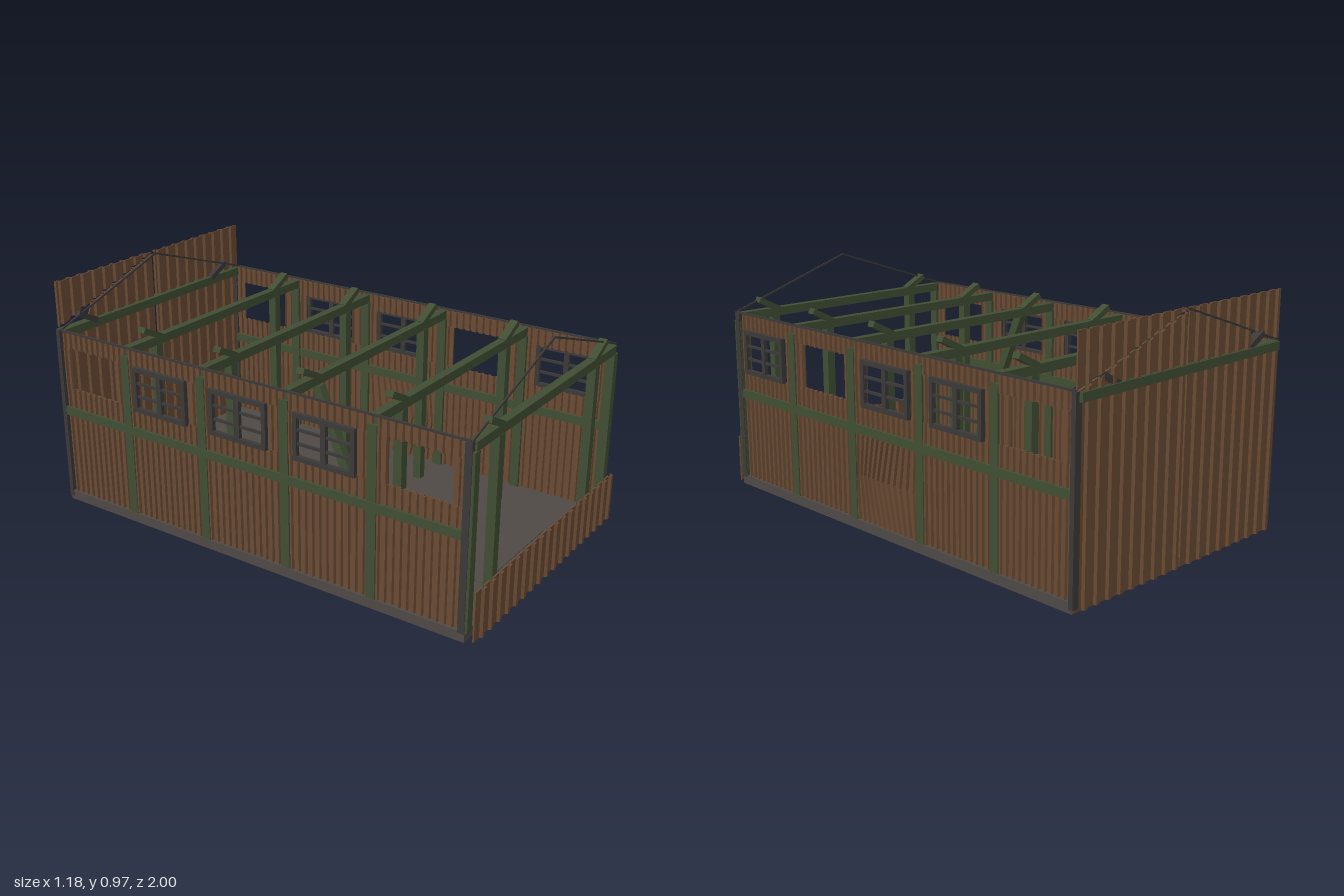
import * as THREE from 'three';

const mat = (name, color, side = THREE.FrontSide) => {
  const m = new THREE.MeshStandardMaterial({ color, side });
  m.name = name;
  return m;
};

export function createModel() {
  const root = new THREE.Group();
  root.name = 'openShed';
  const brown = mat('corrugated brown', 0x684a33, THREE.DoubleSide);
  const green = mat('painted green', 0x404d33);
  const grey = mat('concrete grey', 0x4e4945);
  const dark = mat('dark metal', 0x3b3938);

  const add = (name, geo, material, parent = root) => {
    const m = new THREE.Mesh(geo, material);
    m.name = name;
    parent.add(m);
    return m;
  };
  const box = (name, w, h, d, x, y, z, material, parent) => {
    const m = add(name, new THREE.BoxGeometry(w, h, d), material, parent);
    m.position.set(x, y, z);
    return m;
  };
  // square bar running between two points
  const bar = (name, a, b, w, h, material) => {
    const p = new THREE.Vector3(...a), q = new THREE.Vector3(...b);
    const m = add(name, new THREE.BoxGeometry(w, h, p.distanceTo(q)), material);
    m.position.copy(p).add(q).multiplyScalar(0.5);
    m.lookAt(q);
    return m;
  };

  // ribbed sheet, width along x, ribs towards +z, standing on y = 0
  const sheet = (width, height, pitch, steps = 1) => {
    const n = Math.max(1, Math.round(width / pitch)), p = width / n;
    const rib = 0.011, t = 0.006, line = [];
    for (let i = 0; i < n; i++) {
      const u = -width / 2 + i * p;
      line.push([u, 0], [u + p * 0.6, 0], [u + p * 0.68, rib], [u + p * 0.92, rib]);
    }
    line.push([width / 2, 0]);
    const pts = line.map(([u, d]) => new THREE.Vector2(u, -d));
    line.reverse().forEach(([u, d]) => pts.push(new THREE.Vector2(u, t - d)));
    const geo = new THREE.ExtrudeGeometry(new THREE.Shape(pts), { depth: height, steps, bevelEnabled: false });
    return geo.rotateX(-Math.PI / 2);
  };
  const reshape = (geo, rule) => {
    const p = geo.attributes.position;
    for (let i = 0; i < p.count; i++) {
      const [x, y] = rule(p.getX(i), p.getY(i));
      p.setXY(i, x, y);
    }
    geo.computeVertexNormals();
    return geo;
  };

  // floor slab, underside and hatch
  box('floorSlab', 1.16, 0.04, 1.935, 0, 0.026, -0.0125, grey);
  box('underside', 1.13, 0.006, 1.9, 0, 0.003, -0.0125, green);
  box('floorHatch', 0.5, 0.004, 0.2, 0, 0.047, 0.75, grey);

  // side walls, bay by bay around the window openings
  const edges = [0.935, 0.56, 0.175, -0.22, -0.61, -0.975];
  const centres = [0.75, 0.36, -0.035, -0.425, -0.80];
  const sill = 0.52, head = 0.7, top = 0.77, base = 0.045, belt = 0.42;
  for (const s of [1, -1]) {
    const wall = new THREE.Group();
    wall.name = s > 0 ? 'leftWall' : 'rightWall';
    root.add(wall);
    const panel = (z0, z1, y0, y1, bent) => {
      const w = Math.abs(z0 - z1), h = y1 - y0;
      const geo = sheet(w, h, 0.031, bent ? 8 : 1);
      // buckled sheet: ribs pushed sideways at mid height
      if (bent) reshape(geo, (x, y) => [
        x - 0.04 * (1 - Math.abs(2 * y / h - 1)) * Math.sin(Math.PI * (x / w + 0.5)), y]);
      const m = add('wallSheet', geo, brown, wall);
      m.rotation.y = s * Math.PI / 2;
      m.position.set(s * 0.564, y0, (z0 + z1) / 2);
    };
    centres.forEach((c, i) => {
      const a = edges[i], b = edges[i + 1], r = i === 4 ? 0.12 : 0.13;
      panel(a, b, base, belt, s > 0 && i === 2);
      panel(a, b, belt, sill);
      panel(a, b, head, top);
      panel(a, c + r, sill, head);
      panel(c - r, b, sill, head);
      const framed = s > 0 ? [0, 2, 3] : [1, 2, 3];
      if (!framed.includes(i)) return;
      // window frame with glazing bars
      const win = new THREE.Group();
      win.name = 'windowFrame';
      win.position.set(s * 0.581, 0.61, c);
      wall.add(win);
      for (const k of [-1, 1]) {
        box('frameSide', 0.018, 0.18, 0.018, 0, 0, k * 0.126, dark, win);
        box('frameRail', 0.018, 0.018, 0.27, 0, k * 0.085, 0, dark, win);
        box('glazingBar', 0.01, 0.01, 0.25, 0, k * 0.028, 0, dark, win);
      }
      box('mullion', 0.016, 0.17, 0.022, 0, 0, 0, dark, win);
    });
    box('beltRail', 0.034, 0.036, 1.9, s * 0.564, belt, -0.02, green, wall);
    box('topRail', 0.008, 0.008, 1.92, s * 0.574, 0.772, -0.015, dark, wall);
    box('frontCorner', 0.03, 0.73, 0.028, s * 0.567, 0.405, 0.94, dark, wall);
    box('backCorner', 0.03, 0.75, 0.02, s * 0.567, 0.395, -0.975, dark, wall);
  }

  // cross frames: posts, tie beam and broken rafter stubs
  [0.945, 0.56, 0.175, -0.22, -0.61, -0.975].forEach((z, i) => {
    const back = i === 5;
    box('tieBeam', 1.13, 0.036, 0.034, 0, 0.752, z, green);
    for (const s of [1, -1]) {
      if (!back) box('wallPost', 0.034, 0.69, 0.04, s * 0.562, 0.39, z, green);
      bar('rafterStub', [s * 0.37, 0.762, z], [s * 0.47, 0.814, z], 0.034, 0.024, back ? dark : green);
      if (back) continue;
      if (i === 2 && s < 0) bar('leaningPost', [-0.39, 0.05, 0.49], [-0.39, 0.735, 0.2], 0.036, 0.036, green);
      else box('innerPost', 0.036, 0.69, 0.036, s * 0.39, 0.39, z, green);
    }
  });

  // thin gable edges at both ends
  for (const z of [0.95, -0.962]) for (const s of [1, -1])
    bar('gableEdge', [s * 0.58, 0.772, z], [0, 0.965, z], 0.006, 0.007, dark);

  // low front wall
  add('frontLowWall', sheet(1.14, 0.2, 0.063), brown).position.set(0.005, 0.01, 0.985);

  // back wall: two leaves, each cut by a narrow slit along the gable line
  const gable = (x) => 0.965 - 0.336 * Math.abs(x);
  for (const s of [1, -1]) {
    const w = 0.56, cx = s > 0 ? 0.295 : -0.285;
    const place = (name, geo) => {
      const m = add(name, geo, brown);
      m.rotation.y = Math.PI;
      m.position.set(cx, 0, -0.984);
    };
    place('backLeaf', reshape(sheet(w, 1, 0.063), (x, y) => {
      const wx = cx - x, h = gable(wx) - 0.004;
      return [x, y < 0.5 ? 0.01 : wx < -0.41 ? Math.min(h, 0.765) : h];
    }));
    place('backGable', reshape(sheet(w, 1, 0.063), (x, y) =>
      [x, y < 0.5 ? Math.min(0.966, gable(cx - x) + 0.004) : 0.97]));
  }
  // green rail on the outside of the back wall
  box('backRail', 1.13, 0.034, 0.012, 0, 0.752, -0.993, green);

  return root;
}
